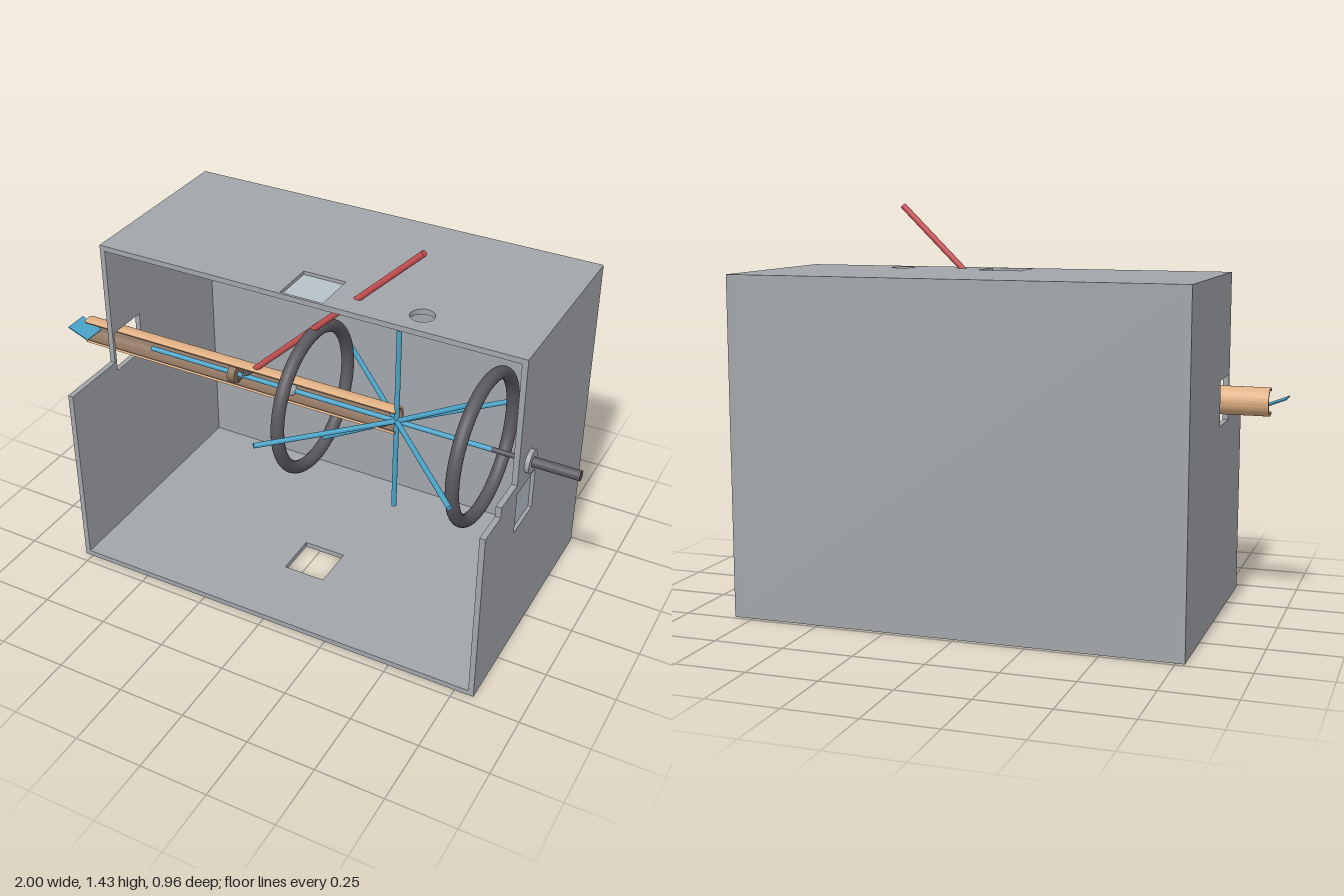
import * as THREE from 'three';
import { toCreasedNormals } from 'three/addons/utils/BufferGeometryUtils.js';

const mat = (name, color, side = THREE.FrontSide) => {
  const m = new THREE.MeshStandardMaterial({ color, side });
  m.name = name;
  return m;
};

export function createModel() {
  const model = new THREE.Group();
  const grey = mat('case grey', 0xa2a6aa);
  const glass = mat('pane blue grey', 0xb7c2ca);
  const tan = mat('tan', 0xe0b084);
  const brown = mat('trough brown', 0x8c725e);
  const blue = mat('blue', 0x4aa3c8);
  const red = mat('red', 0xc85052);
  const dark = mat('dark grey', 0x5a585e);

  const AXIS_Y = 0.763, AXIS_Z = 0.115, HUB_X = 0.34, T = 0.02;
  const V = (x, y, z) => new THREE.Vector3(x, y, z);

  const add = (name, geometry, material, x = 0, y = 0, z = 0) => {
    const mesh = new THREE.Mesh(geometry, material);
    mesh.name = name;
    mesh.position.set(x, y, z);
    model.add(mesh);
    return mesh;
  };

  // Round rod between two points
  const rod = (name, a, b, radius, material) => {
    const dir = b.clone().sub(a);
    const geometry = new THREE.CylinderGeometry(radius, radius, dir.length(), 20);
    const mesh = add(name, geometry, material);
    mesh.position.copy(a).add(b).multiplyScalar(0.5);
    mesh.quaternion.setFromUnitVectors(V(0, 1, 0), dir.normalize());
  };

  const outline = (pts) => new THREE.Shape(pts.map(([u, v]) => new THREE.Vector2(u, v)));
  const rect = (u0, u1, v0, v1) => outline([[u0, v0], [u1, v0], [u1, v1], [u0, v1]]);
  const circle = (u, v, r) => new THREE.Path().absarc(u, v, r, 0, Math.PI * 2, true);
  const extrude = (shape, depth) =>
    new THREE.ExtrudeGeometry(shape, { depth, bevelEnabled: false, curveSegments: 32 });

  // Shape in (z, y), running towards -x from the given x
  const alongX = (name, shape, x, depth, material) =>
    add(name, toCreasedNormals(extrude(shape, depth).rotateY(-Math.PI / 2), 0.6), material, x);
  // Shape in (x, z), running downwards from the given y
  const alongY = (name, shape, y, depth, material) =>
    add(name, toCreasedNormals(extrude(shape, depth).rotateX(Math.PI / 2), 0.6), material, 0, y);

  // Open-fronted case
  const L = -0.78, R = 0.82, BACK = -0.485, FRONT = 0.465, UPPER = 0.207, TOP = 1.2;
  add('backWall', new THREE.BoxGeometry(R - L - 2 * T, TOP - 2 * T, T), grey,
    (L + R) / 2, TOP / 2, BACK + T / 2);

  const topPlate = rect(L + T, R - T, BACK, UPPER);
  topPlate.holes.push(rect(-0.06, 0.1, 0.035, 0.197), circle(0.42, AXIS_Z, 0.042));
  alongY('topPlate', topPlate, TOP, T, grey);

  const floor = rect(L + T, R - T, BACK, FRONT);
  floor.holes.push(rect(-0.06, 0.1, 0.035, 0.197));
  alongY('floor', floor, T, T, grey);

  const leftWall = outline([[BACK, 0], [FRONT, 0], [FRONT, 0.68], [0.34, 0.68],
    [0.34, 0.72], [UPPER, 0.72], [UPPER, TOP], [BACK, TOP]]);
  leftWall.holes.push(rect(0.04, 0.2, 0.52, 0.68));
  alongX('leftWall', leftWall, R, T, grey);

  const rightWall = outline([[BACK, 0], [FRONT, 0], [FRONT, 0.72], [UPPER, 0.72],
    [UPPER, TOP], [BACK, TOP]]);
  rightWall.holes.push(rect(0.035, 0.195, 0.68, 0.84));
  alongX('rightWall', rightWall, L + T, T, grey);

  // Window panes, recessed to the inner face
  alongY('topPane', rect(-0.06, 0.1, 0.035, 0.197), 1.187, 0.006, glass);
  alongX('sidePane', rect(0.04, 0.2, 0.52, 0.68), 0.807, 0.006, glass);

  // Trough open to the front, with a brown lining
  const sector = (rIn, rOut) => {
    const a0 = Math.PI / 3, a1 = Math.PI * 5 / 3;
    const s = new THREE.Shape();
    s.absarc(0.11, AXIS_Y, rOut, a0, a1, false);
    s.absarc(0.11, AXIS_Y, rIn, a1, a0, true);
    s.closePath();
    return s;
  };
  alongX('trough', sector(0.044, 0.05), HUB_X, 1.28, tan);
  alongX('troughLining', sector(0.041, 0.044), HUB_X, 1.28, brown);

  // Tilted flap at the trough's outer end
  const flap = add('flap', new THREE.BoxGeometry(0.09, 0.004, 0.09), blue, -0.957, 0.763, 0.115);
  flap.rotation.z = -0.38;

  // Main axle, stub shaft and collar
  rod('axle', V(-0.655, AXIS_Y, AXIS_Z), V(0.69, AXIS_Y, AXIS_Z), 0.009, blue);
  rod('innerShaft', V(0.69, AXIS_Y, AXIS_Z), V(0.83, AXIS_Y, AXIS_Z), 0.009, dark);
  rod('outerShaft', V(0.81, AXIS_Y, AXIS_Z), V(1, AXIS_Y, AXIS_Z), 0.018, dark);
  rod('collar', V(0.815, AXIS_Y, AXIS_Z), V(0.836, AXIS_Y, AXIS_Z), 0.042, grey);

  // Spokes crossing at the hub
  const hub = V(HUB_X, AXIS_Y, AXIS_Z);
  for (const half of [V(0, 0.36, 0), V(0.28, 0.16, 0), V(0.355, 0, 0.355), V(-0.355, 0, 0.355)]) {
    rod('spoke', hub.clone().sub(half), hub.clone().add(half), 0.009, blue);
  }

  // Rings either side of the hub
  for (const side of [-1, 1]) {
    const ring = new THREE.TorusGeometry(0.256, 0.023, 20, 64).rotateY(Math.PI / 2);
    add('ring', ring, dark, HUB_X + side * 0.32, AXIS_Y, AXIS_Z);
  }

  // Bead, plunger disc and slanted lever
  add('bead', new THREE.SphereGeometry(0.022, 24, 16), grey, -0.07, AXIS_Y, AXIS_Z);
  rod('plunger', V(-0.315, AXIS_Y, AXIS_Z), V(-0.285, AXIS_Y, AXIS_Z), 0.034, brown);
  rod('leverFoot', V(-0.3, 0.735, AXIS_Z), V(-0.21, 0.812, AXIS_Z), 0.009, dark);
  rod('lever', V(-0.21, 0.812, AXIS_Z), V(0.417, 1.425, AXIS_Z), 0.011, red);

  return model;
}
